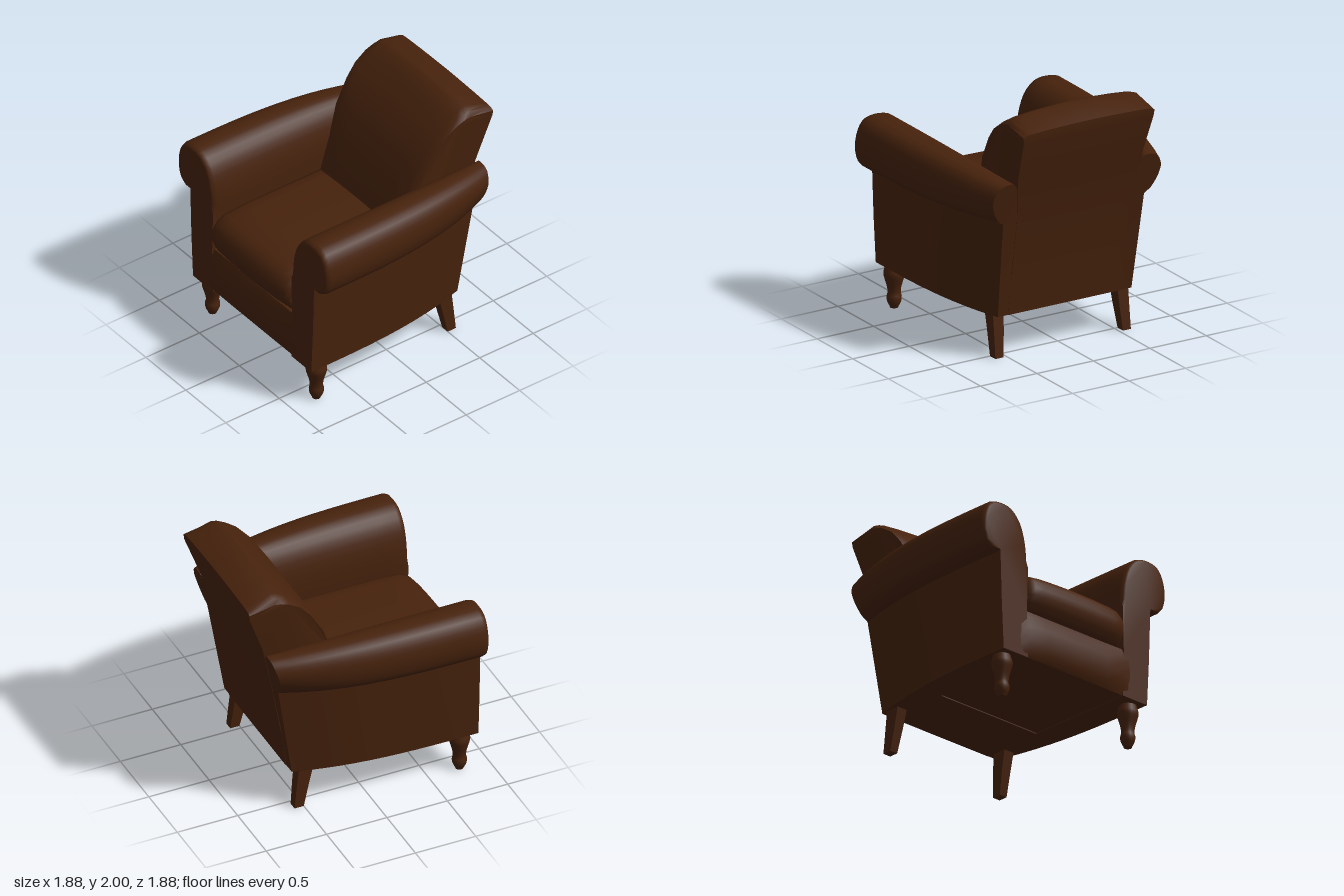
import * as THREE from 'three';
import { toCreasedNormals } from 'three/addons/utils/BufferGeometryUtils.js';

// Piecewise-linear lookup in [[key, value], ...]
function lookup(table, k) {
  for (let i = 1; i < table.length; i++) {
    const [a, va] = table[i - 1], [b, vb] = table[i];
    if (k <= b) return va + (vb - va) * Math.max(0, (k - a) / (b - a));
  }
  return table[table.length - 1][1];
}

// Skin a list of rings of [x, y, z]; outline is the 2D shape used to cap both ends
function loft(rings, outline, crease = 0.75) {
  const n = rings[0].length, last = (rings.length - 1) * n, index = [];
  for (let r = 0; r < rings.length - 1; r++) {
    for (let i = 0; i < n; i++) {
      const a = r * n + i, b = r * n + (i + 1) % n;
      index.push(a, b, b + n, a, b + n, a + n);
    }
  }
  // Cap triangles follow the outline's direction at the end and oppose it at the start
  const pts = outline.map(([x, y]) => new THREE.Vector2(x, y));
  const clockwise = THREE.ShapeUtils.isClockWise(pts);
  for (const tri of THREE.ShapeUtils.triangulateShape(pts, [])) {
    if (THREE.ShapeUtils.isClockWise(tri.map((i) => pts[i])) !== clockwise) tri.reverse();
    const [a, b, c] = tri;
    index.push(a, c, b, last + a, last + b, last + c);
  }
  // Turn the skin outwards by its signed volume
  const v = rings.flat().map((p) => new THREE.Vector3(...p));
  let volume = 0;
  for (let i = 0; i < index.length; i += 3) {
    volume += v[index[i]].dot(v[index[i + 1]].clone().cross(v[index[i + 2]]));
  }
  if (volume < 0) index.reverse();
  const g = new THREE.BufferGeometry();
  g.setAttribute('position', new THREE.Float32BufferAttribute(rings.flat(2), 3));
  g.setIndex(index);
  return toCreasedNormals(g, crease);
}

// Stations for the right half, mirrored to the left
const mirrorStations = (half) => [...half.slice(1).reverse().map(([u, ...rest]) => [-u, ...rest]), ...half];

// Raked line of the chair's back: height to z
const backLine = [[0.34, -0.6], [0.62, -0.63], [1.2, -0.74], [1.5, -0.815], [1.9, -0.94]];

// Side panel and rolled arm in one cross-section, tapering to the rear
function armGeometry(side) {
  const roll = new THREE.SplineCurve([
    [0.84, 1.13], [0.91, 1.18], [0.94, 1.3], [0.92, 1.43], [0.86, 1.52], [0.75, 1.545],
    [0.64, 1.52], [0.55, 1.42], [0.5, 1.25], [0.49, 1.08],
  ].map(([x, y]) => new THREE.Vector2(x, y))).getPoints(26).map((p) => [p.x, p.y]);
  const outline = [[0.49, 0.34], [0.74, 0.34], [0.76, 0.72], [0.78, 1.13], ...roll, [0.5, 0.72]];
  const stations = [[0, 0.9], [0.006, 0.96], [0.025, 1]];
  for (let i = 1; i <= 12; i++) stations.push([0.025 + 0.975 * i / 12, 1]);
  const rings = stations.map(([t, s]) => outline.map(([x0, y0]) => {
    let x = x0, y = y0;
    if (y > 1.12) {
      x = 0.72 + (x - 0.72) * s;
      y = 1.28 + (y - 1.28) * s;
      if (y > 1.13) y = 1.13 + (y - 1.13) * (1 - 0.18 * t ** 3);
    }
    const z = 0.88 + (lookup(backLine, y) + 0.004 - 0.88) * t;
    // The inner face stays straight; the roll's underside fades into the rear corner
    const taper = Math.min(1, Math.max(0, (x - 0.49) / 0.25));
    const tuck = x0 > 0.79 && y0 < 1.4 ? 0.06 * t ** 4 * (1.4 - y0) / 0.27 : 0;
    return [side * (x * (1 - 0.2 * taper * t ** 3) - tuck), y, z];
  }));
  return loft(rings, outline);
}

// Backrest: side profile swept across the width, crowned and softened at the ends
function backrestGeometry() {
  const outline = [
    [-0.6, 0.34], [-0.63, 0.62], [-0.74, 1.2], [-0.815, 1.5], [-0.935, 1.83], [-0.94, 1.91],
    [-0.73, 2], [-0.68, 1.985], [-0.61, 1.93], [-0.5, 1.82], [-0.41, 1.72], [-0.29, 1.53],
    [-0.2, 1.3], [-0.1, 1.08], [-0.06, 0.9], [-0.06, 0.34],
  ];
  const halfWidth = [[0.34, 0.5], [1.1, 0.49], [1.5, 0.55], [1.9, 0.58]];
  // position across, drop of the top, pull-back of the front
  const stations = mirrorStations([
    [0, 0, 0], [0.3, 0.006, 0], [0.6, 0.017, 0], [0.86, 0.033, 0], [0.95, 0.05, 0.02], [1, 0.085, 0.07],
  ]);
  const rings = stations.map(([u, drop, pull]) => outline.map(([z, y]) => [
    u * lookup(halfWidth, y),
    y > 1.85 ? y - drop * (y - 1.85) / 0.15 : y,
    z > -0.66 && y > 0.5 ? z + (-0.66 - z) * pull : z,
  ]));
  return loft(rings, outline);
}

// Seat base with a gently bulging front rail
function seatBaseGeometry() {
  const outline = [
    [-0.59, 0.35], [0.87, 0.345], [0.905, 0.4], [0.92, 0.5], [0.912, 0.6], [0.885, 0.68], [0.86, 0.73], [-0.59, 0.73],
  ];
  const rings = [-0.72, -0.6, -0.48, -0.3, 0, 0.3, 0.48, 0.6, 0.72].map((x) => {
    const bulge = 1 - Math.min(1, Math.max(0, (Math.abs(x) - 0.42) / 0.2));
    return outline.map(([z, y]) => z > 0
      ? [x, y, 0.865 + (z - 0.865) * bulge]
      : [x * 0.8, y, z]);
  });
  return loft(rings, outline);
}

// Seat cushion with a plump front and softened side edges
function cushionGeometry() {
  const outline = [
    [-0.15, 0.72], [0.8, 0.725], [0.865, 0.745], [0.915, 0.8], [0.937, 0.86], [0.938, 0.92],
    [0.92, 0.98], [0.88, 1.035], [0.81, 1.07], [0.6, 1.083], [-0.15, 1.08],
  ];
  // x, vertical inset, front inset
  const stations = mirrorStations([
    [0, 0, 0], [0.2, 0.003, 0.003], [0.36, 0.008, 0.01], [0.44, 0.014, 0.02], [0.475, 0.028, 0.035], [0.49, 0.07, 0.06],
  ]);
  const rings = stations.map(([x, dy, dz]) => outline.map(([z, y]) => [
    x,
    y > 0.9 ? y - dy * (y - 0.9) / 0.18 : y,
    z > 0 ? z - dz : z,
  ]));
  return loft(rings, outline, 0.9);
}

// Splayed, tapering square leg
function backLegGeometry(side) {
  const square = [[-1, -1], [1, -1], [1, 1], [-1, 1]];
  const levels = [[0.4, 0.55, -0.47, 0.048, 0.062], [0.2, 0.555, -0.505, 0.043, 0.05], [0, 0.565, -0.538, 0.035, 0.038]];
  return loft(levels.map(([y, x, z, w, d]) => square.map(([u, v]) => [side * (x + u * w), y, z + v * d])), square);
}

// Turned baluster leg
function frontLegGeometry() {
  const profile = new THREE.SplineCurve([
    [0.062, 0.36], [0.075, 0.31], [0.082, 0.27], [0.07, 0.22], [0.056, 0.17],
    [0.05, 0.12], [0.058, 0.085], [0.052, 0.045], [0.034, 0.01],
  ].map(([x, y]) => new THREE.Vector2(x, y))).getPoints(20).reverse();
  return new THREE.LatheGeometry([new THREE.Vector2(0, 0), new THREE.Vector2(0.032, 0), ...profile], 16);
}

export function createModel() {
  const chair = new THREE.Group();
  chair.name = 'armchair';
  const leather = new THREE.MeshStandardMaterial({ color: 0x46220c });
  leather.name = 'brown leather';

  const add = (name, geometry, x = 0, y = 0, z = 0) => {
    const mesh = new THREE.Mesh(geometry, leather);
    mesh.name = name;
    mesh.position.set(x, y, z);
    chair.add(mesh);
  };

  add('backrest', backrestGeometry());
  add('seatBase', seatBaseGeometry());
  add('seatCushion', cushionGeometry());

  for (const side of [1, -1]) {
    const label = side > 0 ? 'left' : 'right';
    add(label + 'Arm', armGeometry(side));
    add(label + 'FrontLeg', frontLegGeometry(), side * 0.65, 0, 0.765);
    add(label + 'BackLeg', backLegGeometry(side));
  }
  return chair;
}
